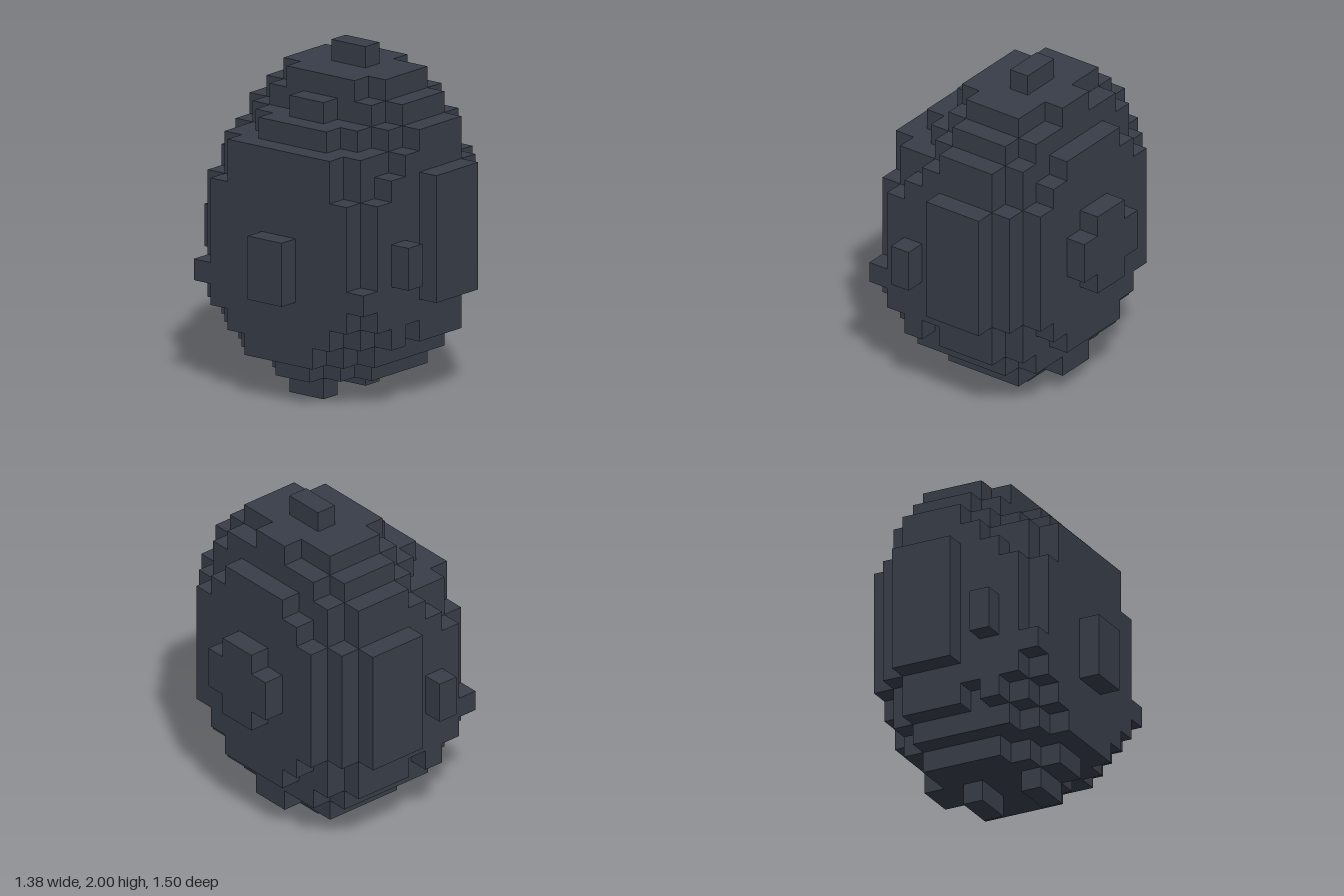
import * as THREE from 'three';

const V = 0.125; // one block

// Stepped outline from half widths (in blocks), listed bottom to top, mirrored in z
function steppedSlice(firstRow, halfWidths) {
  const side = [];
  halfWidths.forEach((w, i) => {
    if (w !== halfWidths[i - 1]) side.push([w, firstRow + i]);
    if (w !== halfWidths[i + 1]) side.push([w, firstRow + i + 1]);
  });
  const mirrored = side.map(([w, y]) => [-w, y]).reverse();
  return new THREE.Shape([...side, ...mirrored].map(([w, y]) => new THREE.Vector2(w * V, y * V)));
}

export function createModel() {
  const group = new THREE.Group();
  group.name = 'blockyEgg';
  const slate = new THREE.MeshStandardMaterial({ color: 0x373d48 });
  slate.name = 'dark slate';

  // name, first column, columns wide, first row, half widths going up
  const slices = [
    ['rightKnob', 0, 1, 5, [1, 1, 1]],
    ['rightCap', 1, 1, 2, [2, 3, 4, 5, 4, 4, 4, 4, 3, 3]],
    ['rightOuterSlice', 2, 1, 1, [1, 3, 4, 5, 5, 5, 5, 5, 5, 4, 4, 2]],
    ['rightInnerSlice', 3, 1, 1, [2, 4, 5, 5, 5, 5, 5, 5, 5, 5, 4, 3, 1]],
    ['rightMiddleSlice', 4, 1, 1, [3, 4, 4, 5, 5, 5, 5, 5, 5, 5, 5, 4, 3, 2]],
    ['middleSlice', 5, 3, 1, [3, 4, 5, 5, 5, 5, 5, 5, 5, 5, 5, 5, 4, 3]],
    ['leftInnerSlice', 8, 1, 1, [1, 3, 4, 4, 5, 5, 5, 5, 5, 5, 4, 4, 3, 1]],
    ['leftCap', 9, 1, 3, [2, 3, 4, 4, 4, 4, 4, 4, 3, 2]],
    ['leftKnob', 10, 1, 6, [1, 2, 2, 1]],
  ];
  for (const [name, column, wide, row, widths] of slices) {
    const geometry = new THREE.ExtrudeGeometry(steppedSlice(row, widths), {
      depth: wide * V, bevelEnabled: false,
    });
    geometry.rotateY(Math.PI / 2);
    const mesh = new THREE.Mesh(geometry, slate);
    mesh.name = name;
    mesh.position.x = (column - 5.5) * V;
    group.add(mesh);
  }

  // Raised blocks: column, row and depth are lower corners in blocks
  function block(name, column, row, depth, w, h, d) {
    const mesh = new THREE.Mesh(new THREE.BoxGeometry(w * V, h * V, d * V), slate);
    mesh.name = name;
    mesh.position.set((column + w / 2 - 5.5) * V, (row + h / 2) * V, (depth + d / 2) * V);
    group.add(mesh);
  }
  block('topKnob', 6, 15, -1, 1, 1, 2);
  block('bottomKnob', 6, 0, -1, 1, 1, 2);
  block('rightBottomKnob', 3, 0, -1, 1, 1, 2);
  for (const [end, depth] of [['front', 5], ['back', -6]]) {
    block(end + 'Panel', 5, 5, depth, 3, 6, 1);
    block(end + 'Knob', 3, 6, depth, 1, 2, 1);
  }
  return group;
}
